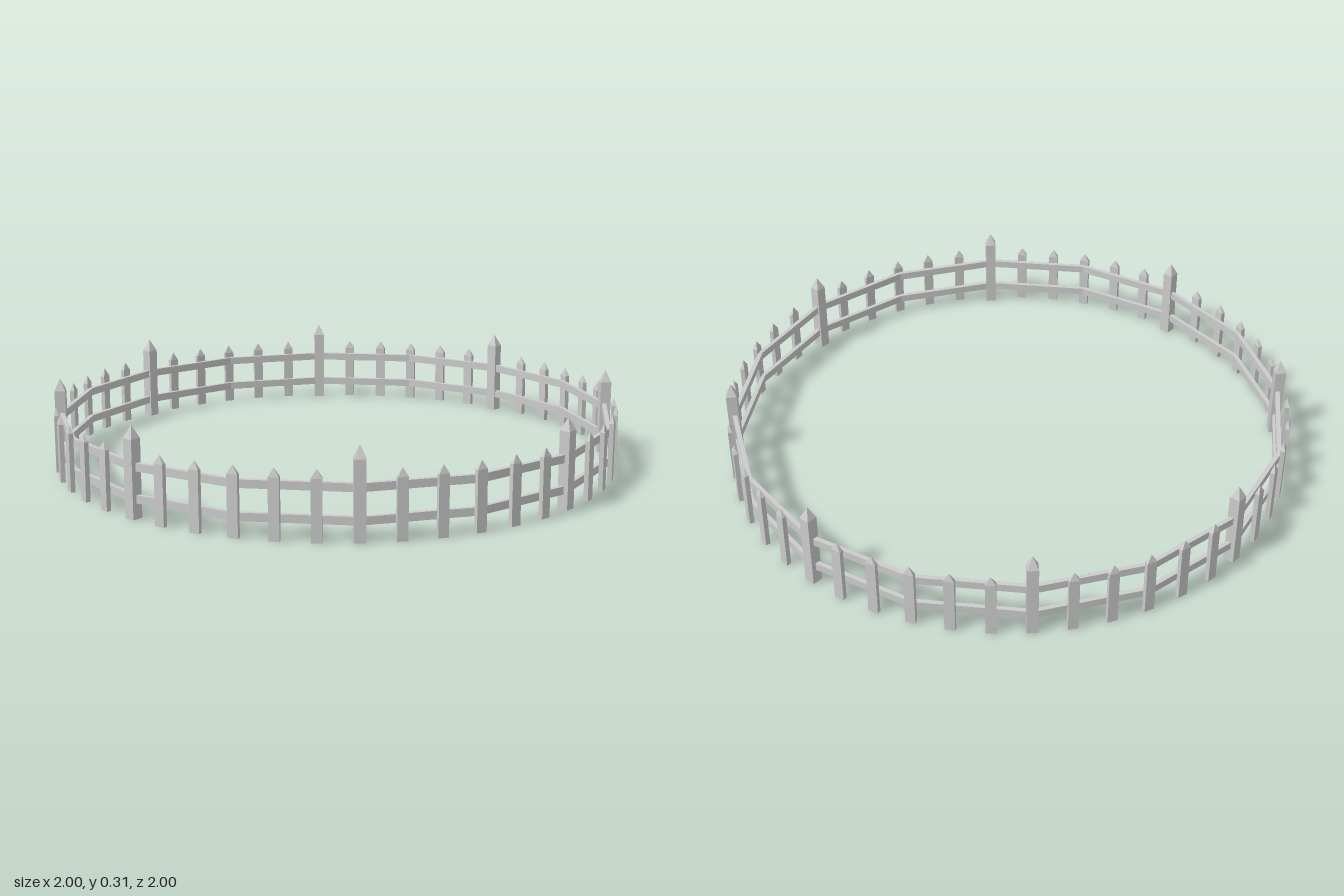
import * as THREE from 'three';

const POSTS = 8, STAKES = 48, RAIL_SIDES = 16;

// Square upright with a pyramid tip, standing on y = 0
function stakeGeometry(width, depth, shoulder, height) {
  const r = Math.SQRT1_2;
  const profile = [[0, 0], [r, 0], [r, shoulder], [0, height]].map(([x, y]) => new THREE.Vector2(x, y));
  return new THREE.LatheGeometry(profile, 4, Math.PI / 4).scale(width, 1, depth);
}

// Mitred polygonal hoop with a rectangular section
function railGeometry(radius, thickness, bottom, top) {
  const a = radius - thickness / 2, b = radius + thickness / 2;
  const profile = [[a, bottom], [b, bottom], [b, top], [a, top], [a, bottom]].map(([x, y]) => new THREE.Vector2(x, y));
  return new THREE.LatheGeometry(profile, RAIL_SIDES);
}

export function createModel() {
  const fence = new THREE.Group();
  fence.name = 'roundPicketFence';
  const material = new THREE.MeshStandardMaterial({ color: 0xcccccc, flatShading: true });

  const add = (name, geometry, radius = 0, angle = 0) => {
    const mesh = new THREE.Mesh(geometry, material);
    mesh.name = name;
    mesh.position.set(Math.sin(angle) * radius, 0, Math.cos(angle) * radius);
    mesh.rotation.y = angle;
    fence.add(mesh);
  };

  // Two rails running round the inside of the pickets
  add('lowerRail', railGeometry(0.98, 0.016, 0.052, 0.079));
  add('upperRail', railGeometry(0.98, 0.016, 0.157, 0.184));

  // Tall posts, with five pickets between each pair
  const post = stakeGeometry(0.038, 0.038, 0.262, 0.305);
  const picket = stakeGeometry(0.035, 0.016, 0.203, 0.232);
  for (let i = 0; i < STAKES; i++) {
    const angle = (i / STAKES) * Math.PI * 2;
    if (i % (STAKES / POSTS) === 0) add('post', post, 0.981, angle);
    else add('picket', picket, 0.993, angle);
  }
  return fence;
}
